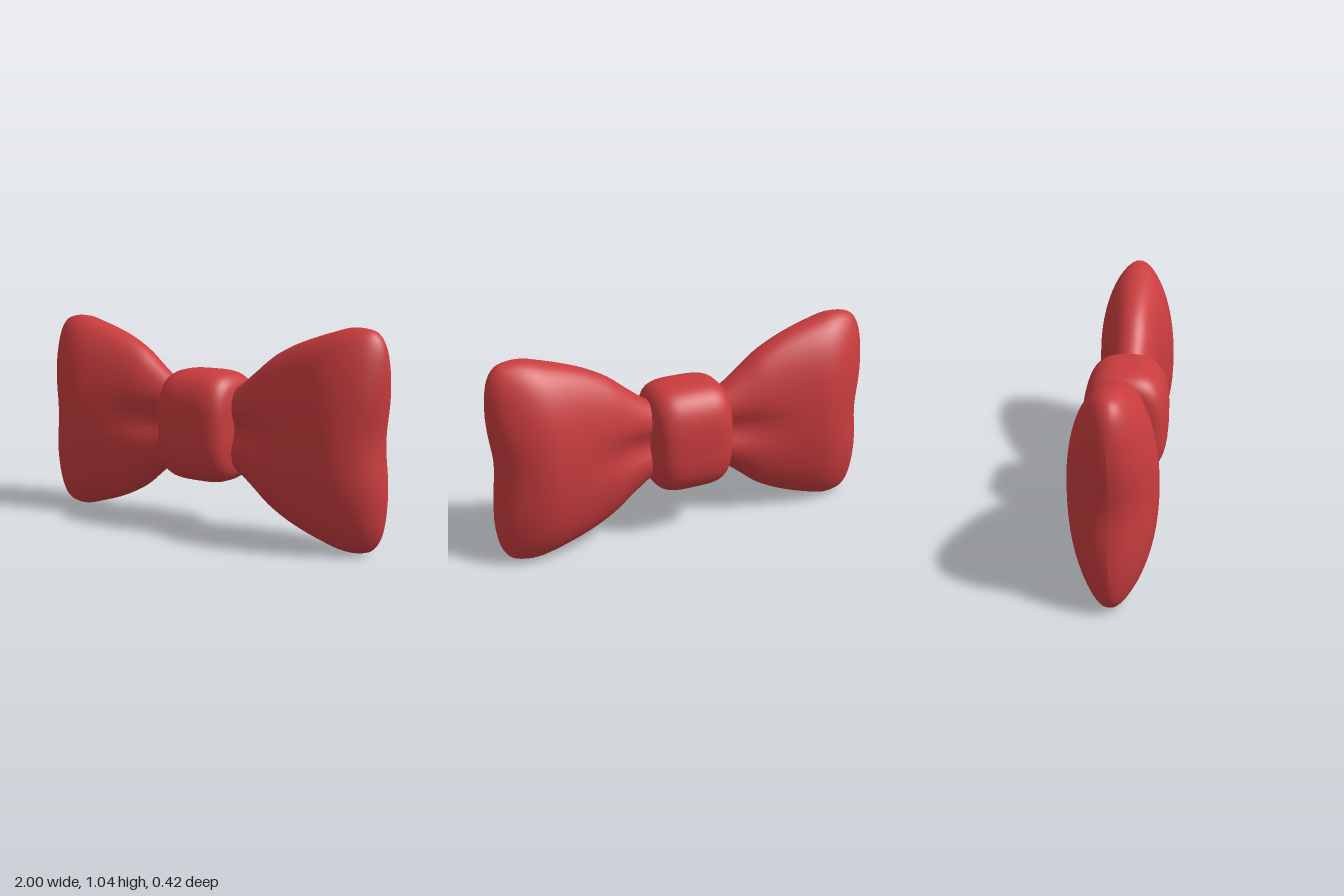
import * as THREE from 'three';
import { mergeVertices } from 'three/addons/utils/BufferGeometryUtils.js';

const CENTER_Y = 0.525;
const { smoothstep } = THREE.MathUtils;

// Skin rounded cross-sections along x. Each station is [x, half height, half depth].
function loft(stations, power, shape = () => {}, rows = 48, sides = 56) {
  const curve = new THREE.CatmullRomCurve3(stations.map(s => new THREE.Vector3(...s)), false, 'centripetal');
  const round = v => Math.sign(v) * Math.pow(Math.abs(v), 2 / power);
  const positions = [], index = [];
  const p = new THREE.Vector3();
  for (let i = 0; i <= rows; i++) {
    const s = curve.getPoint(i / rows);
    for (let j = 0; j < sides; j++) {
      const a = (j / sides) * Math.PI * 2;
      p.set(s.x, round(Math.sin(a)) * s.y, round(Math.cos(a)) * Math.max(0, s.z));
      shape(p);
      positions.push(p.x, p.y, p.z);
      if (i < rows) {
        const k = i * sides, n = (j + 1) % sides;
        index.push(k + j, k + sides + j, k + sides + n, k + j, k + sides + n, k + n);
      }
    }
  }
  let geo = new THREE.BufferGeometry();
  geo.setAttribute('position', new THREE.Float32BufferAttribute(positions, 3));
  geo.setIndex(index);
  geo = mergeVertices(geo, 1e-4);
  geo.computeVertexNormals();
  return geo;
}

export function createModel() {
  const group = new THREE.Group();
  group.name = 'bowTie';
  const red = new THREE.MeshStandardMaterial({ color: 0xc93c3e });
  red.name = 'red fabric';

  // Puffy wing, pinched beside the knot and slightly hollow along its outer edge
  const wingGeo = loft([
    [0.1, 0.16, 0.09], [0.2, 0.21, 0.108], [0.3, 0.285, 0.125], [0.4, 0.365, 0.145],
    [0.5, 0.42, 0.163], [0.6, 0.46, 0.184], [0.72, 0.497, 0.205], [0.8, 0.518, 0.196],
    [0.87, 0.519, 0.17], [0.93, 0.502, 0.132], [0.97, 0.45, 0.088], [0.99, 0.37, 0.05], [1, 0.27, 0],
  ], 2.15, p => {
    const pinch = 1 - smoothstep(p.x, 0.2, 0.6);
    p.z *= 1 - 0.4 * pinch * Math.exp(-((p.y / 0.08) ** 2));
    p.x -= 0.025 * smoothstep(p.x, 0.6, 1) * Math.exp(-((p.y / 0.16) ** 2));
  });
  for (const [name, turn] of [['leftWing', 0], ['rightWing', Math.PI]]) {
    const wing = new THREE.Mesh(wingGeo, red);
    wing.name = name;
    wing.position.y = CENTER_Y;
    wing.rotation.y = turn;
    group.add(wing);
  }

  // Rounded knot; its open ends are buried in the wings
  const half = [
    [0.07, 0.281, 0.211], [0.12, 0.275, 0.206], [0.16, 0.259, 0.192], [0.187, 0.23, 0.168],
    [0.2, 0.195, 0.138], [0.21, 0.145, 0.095], [0.212, 0.08, 0.04],
  ];
  const mirrored = half.map(([x, h, d]) => [-x, h, d]).reverse();
  const knot = new THREE.Mesh(loft([...mirrored, [0, 0.282, 0.212], ...half], 2.8), red);
  knot.name = 'knot';
  knot.position.y = CENTER_Y;
  group.add(knot);

  return group;
}
